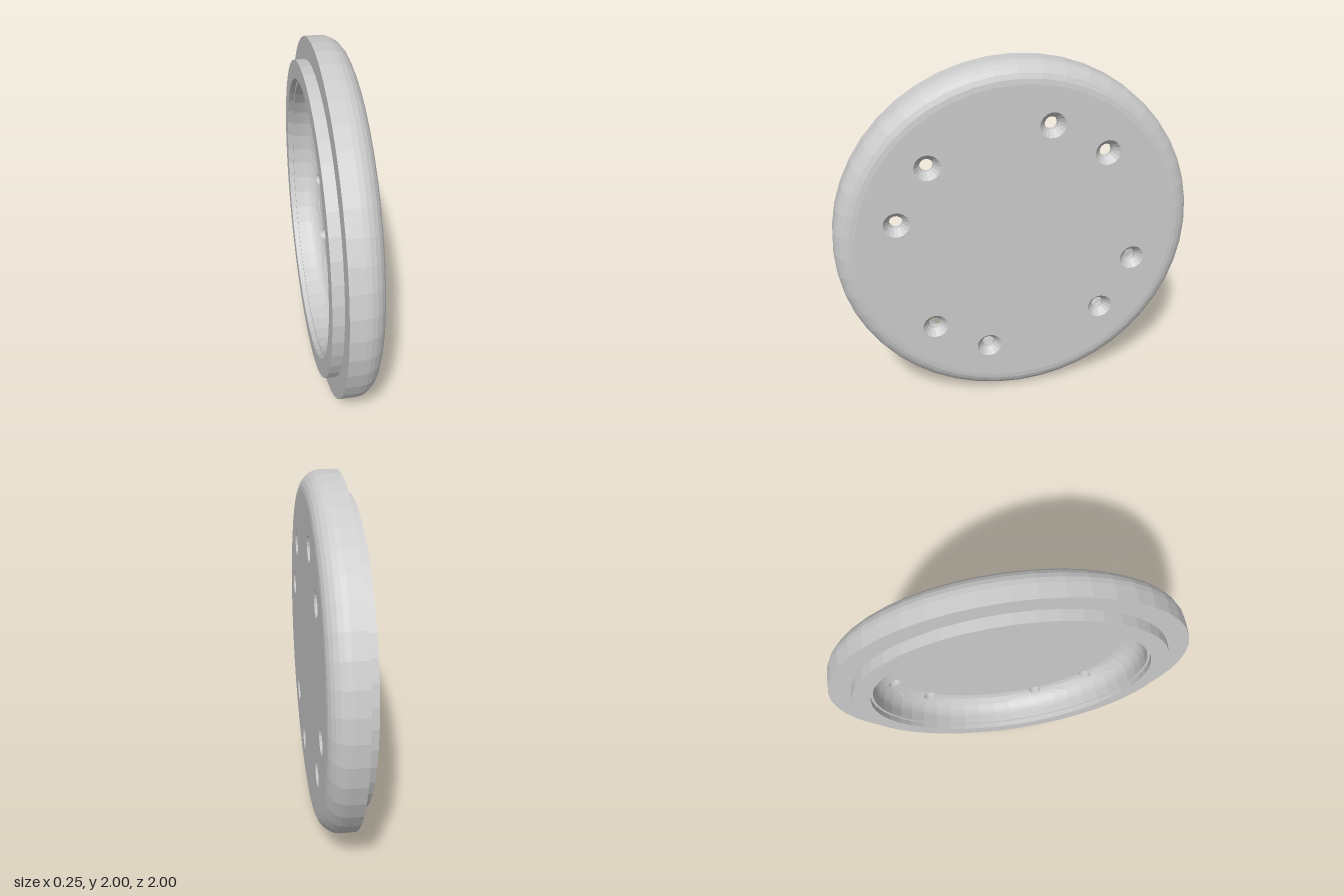
import * as THREE from 'three';

const SIDES = 48, STEP = Math.PI / 6;      // rim facets, angle of one sector
const FACE = 0.125, FLOOR = 0.06;          // front face and recess floor along x
const R_IN = 0.58, R_FACE = 0.89, R_BOWL = 0.74; // limits of the drilled band
const WALL = 0.765, FILLET = 0.11;         // recess wall and its rounding
const HOLE_R = 0.685, N = 16;              // hole circle, sides of each hole

// x of the recess surface at radius r: flat floor, then a rounded corner
function bowlX(r) {
  const d = Math.max(0, r - (WALL - FILLET));
  return FLOOR - FILLET + Math.sqrt(Math.max(0, FILLET * FILLET - d * d));
}

// Lathe about the x axis; points are [radius, x]
function turn(points, segments = SIDES, start = 0, length = Math.PI * 2) {
  const g = new THREE.LatheGeometry(points.map(p => new THREE.Vector2(p[0], p[1])), segments, start, length);
  return g.rotateZ(-Math.PI / 2);
}

// Quarter arc as [radius, x] points
function arc(r, x, radius, from, to, n = 6) {
  return Array.from({ length: n + 1 }, (_, i) => {
    const t = from + (to - from) * i / n;
    return [r + radius * Math.cos(t), x + radius * Math.sin(t)];
  });
}

// Boundary of a sector as [z, y] points, four steps along each side
function sectorLoop(a0, r0, r1) {
  const loop = [], a1 = a0 + STEP;
  const corners = [[a0, r0], [a0, r1], [a1, r1], [a1, r0]];
  corners.forEach((c, i) => {
    const d = corners[(i + 1) % 4];
    for (let k = 0; k < 4; k++) {
      const a = c[0] + (d[0] - c[0]) * k / 4, r = c[1] + (d[1] - c[1]) * k / 4;
      loop.push([r * Math.cos(a), r * Math.sin(a)]);
    }
  });
  return loop;
}

// One sector with a countersunk hole: face, cone, bore and recess in one loft
function drilledSector(a0) {
  const mid = a0 + STEP / 2;
  const circle = radius => Array.from({ length: N }, (_, k) => {
    const t = mid + Math.PI * 1.25 + k * 2 * Math.PI / N;
    return [HOLE_R * Math.cos(mid) + radius * Math.cos(t), HOLE_R * Math.sin(mid) + radius * Math.sin(t)];
  });
  const at = (loop, x) => loop.map(([z, y]) => [x ?? bowlX(Math.hypot(z, y)), y, z]);
  const bore = circle(0.036), back = sectorLoop(a0, R_IN, R_BOWL);
  const loops = [at(sectorLoop(a0, R_IN, R_FACE), FACE), at(circle(0.071), FACE), at(bore, FACE - 0.04)];
  for (let i = 0; i <= 5; i++) {
    loops.push(at(bore.map((p, k) => [0, 1].map(c => p[c] + (back[k][c] - p[c]) * i / 5))));
  }
  const index = [];
  for (let j = 0; j < loops.length - 1; j++) {
    for (let k = 0; k < N; k++) {
      const n = (k + 1) % N, a = j * N + k, b = j * N + n;
      index.push(a, a + N, b, b, a + N, b + N);
    }
  }
  const g = new THREE.BufferGeometry();
  g.setAttribute('position', new THREE.Float32BufferAttribute(loops.flat(2), 3));
  g.setIndex(index);
  g.computeVertexNormals();
  return g;
}

export function createModel() {
  const group = new THREE.Group();
  group.name = 'roundCover';
  const material = new THREE.MeshStandardMaterial({ color: 0xcccccc, flatShading: true });
  const add = (name, geometry) => {
    const mesh = new THREE.Mesh(geometry, material);
    mesh.name = name;
    mesh.position.y = 1;
    group.add(mesh);
  };

  // Recess wall, lip, back spigot, flange and rounded outer edge
  const bowlEnd = Math.acos((R_BOWL - WALL + FILLET) / FILLET);
  add('rim', turn([
    ...arc(WALL - FILLET, FLOOR - FILLET, FILLET, bowlEnd, 0, 4),
    [WALL, -0.095], [0.78, -0.095], [0.78, -0.125],
    [0.88, -0.125], [0.88, -0.065], [1, -0.065],
    ...arc(R_FACE, FACE - 0.11, 0.11, 0, Math.PI / 2),
  ]));

  // Plain centre of the plate, both sides
  add('faceCentre', turn([[R_IN, FACE], [0, FACE]]));
  add('floorCentre', turn([[0, FLOOR], [R_IN, FLOOR]]));

  // Band of sectors: two drilled and one plain in every quarter
  const plainFloor = [0, 1, 2, 3, 4].map(i => {
    const r = R_IN + (R_BOWL - R_IN) * i / 4;
    return [r, bowlX(r)];
  });
  for (let q = 0; q < 4; q++) {
    const a = q * Math.PI / 2;
    add('screwHoleA' + (q + 1), drilledSector(a));
    add('screwHoleB' + (q + 1), drilledSector(a + STEP));
    const start = -(a + 3 * STEP);
    add('plainFace' + (q + 1), turn([[R_FACE, FACE], [R_IN, FACE]], 4, start, STEP));
    add('plainFloor' + (q + 1), turn(plainFloor, 4, start, STEP));
  }
  return group;
}
